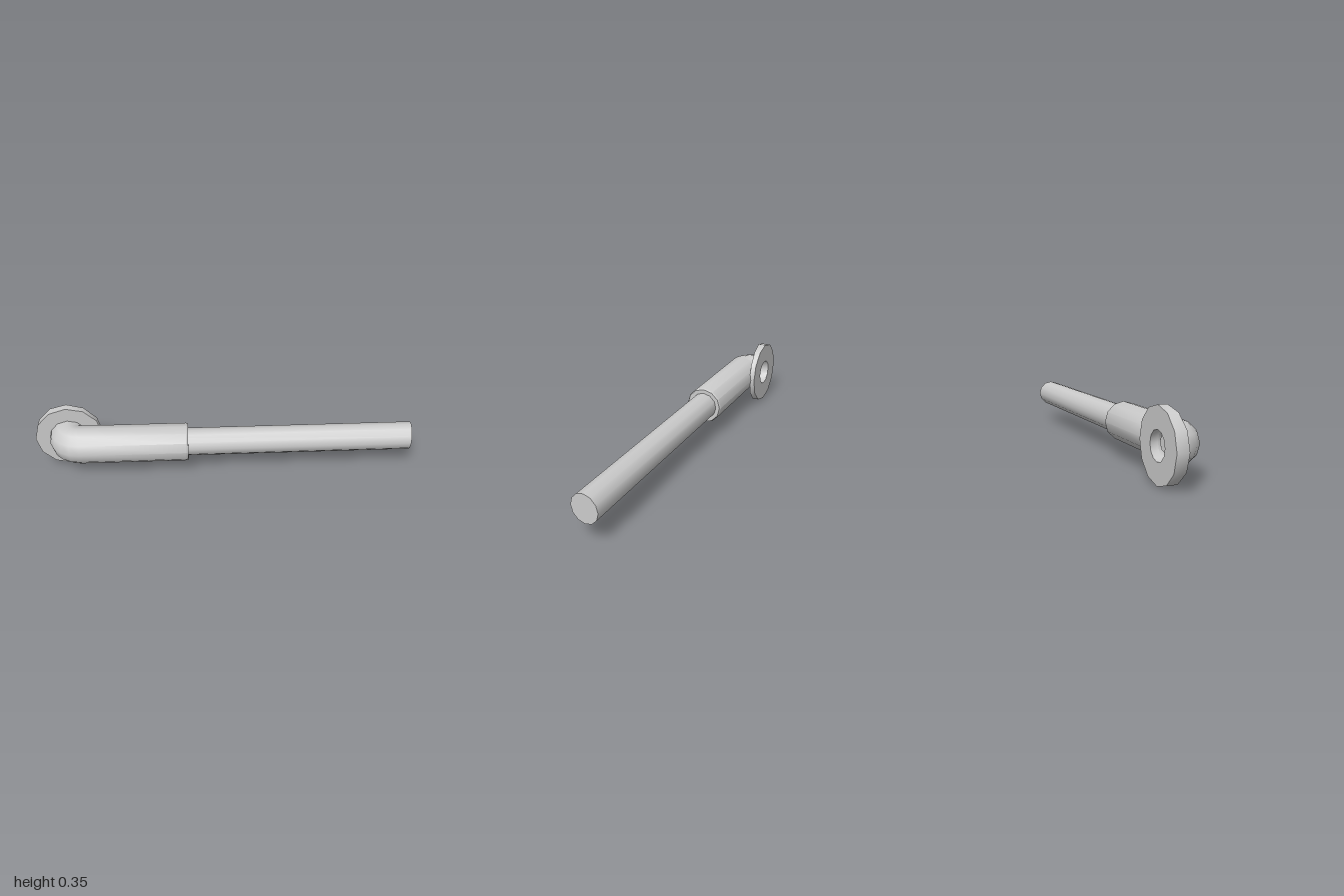
import * as THREE from 'three';
import { toCreasedNormals } from 'three/addons/utils/BufferGeometryUtils.js';

const SIDES = 12, AXIS_Y = 0.177, AXIS_Z = 0.01;
const BEND = 0.07, PIVOT_X = -0.755, PIVOT_Z = AXIS_Z - BEND;

// Closed tube wall through stations: bend angle a, offset d along the tube, radius r
function sweep(stations) {
  const pos = [], index = [];
  for (const { a, d, r } of stations) {
    for (let j = 0; j < SIDES; j++) {
      const phi = (j / SIDES) * Math.PI * 2;
      const reach = BEND + r * Math.cos(phi);
      pos.push(
        PIVOT_X - reach * Math.cos(a) + d * Math.sin(a),
        AXIS_Y + r * Math.sin(phi),
        PIVOT_Z + reach * Math.sin(a) + d * Math.cos(a)
      );
    }
  }
  const n = stations.length;
  for (let i = 0; i < n; i++) {
    for (let j = 0; j < SIDES; j++) {
      const k = (j + 1) % SIDES, m = (i + 1) % n;
      const A = i * SIDES + j, B = m * SIDES + j, C = m * SIDES + k, D = i * SIDES + k;
      index.push(A, B, D, B, C, D);
    }
  }
  const g = new THREE.BufferGeometry();
  g.setAttribute('position', new THREE.Float32BufferAttribute(pos, 3));
  g.setIndex(index);
  return toCreasedNormals(g, 0.65);
}

// Moves every vertex by a rule
function deform(g, rule) {
  const p = g.attributes.position, v = new THREE.Vector3();
  for (let i = 0; i < p.count; i++) {
    v.fromBufferAttribute(p, i);
    rule(v);
    p.setXYZ(i, v.x, v.y, v.z);
  }
  return g;
}

export function createModel() {
  const group = new THREE.Group();
  const material = new THREE.MeshStandardMaterial({ color: 0xcccccc, side: THREE.DoubleSide });
  const add = (name, geometry) => {
    const mesh = new THREE.Mesh(geometry, material);
    mesh.name = name;
    group.add(mesh);
    return mesh;
  };

  // Wall flange: ring with a bore, its front face slightly tapered towards +x
  const profile = [[0.07, -0.11], [0.175, -0.11], [0.175, -0.066], [0.07, -0.066], [0.07, -0.11]];
  const ring = new THREE.LatheGeometry(profile.map(([r, z]) => new THREE.Vector2(r, z)), SIDES);
  ring.rotateX(Math.PI / 2);
  deform(ring, v => { if (v.z > -0.1) v.z -= v.x * 0.09; });
  add('wallFlange', toCreasedNormals(ring, 0.65)).position.set(-0.825, AXIS_Y, 0);

  // Hollow elbow running on into the straight sleeve
  const bend = r => Array.from({ length: 6 }, (_, i) => ({ a: (i / 5) * Math.PI / 2, d: 0, r }));
  const straight = (x, r) => ({ a: Math.PI / 2, d: x - PIVOT_X, r });
  add('elbowSleeve', sweep([
    { a: 0, d: -0.04, r: 0.1 },
    ...bend(0.1),
    straight(-0.2, 0.1),
    straight(-0.19, 0.095),
    straight(-0.19, 0.071),
    ...bend(0.071).reverse(),
    { a: 0, d: -0.04, r: 0.071 },
  ]));

  // Rod held in the sleeve, its free end cut slightly askew
  const x0 = -0.7, x1 = 0.9925;
  const rod = new THREE.CylinderGeometry(0.0735, 0.0735, x1 - x0, SIDES);
  rod.rotateZ(-Math.PI / 2).translate((x0 + x1) / 2, 0, 0);
  deform(rod, v => { if (v.x > 0) v.x -= v.z * 0.1; });
  add('rod', rod).position.set(0, AXIS_Y, AXIS_Z);

  return group;
}
